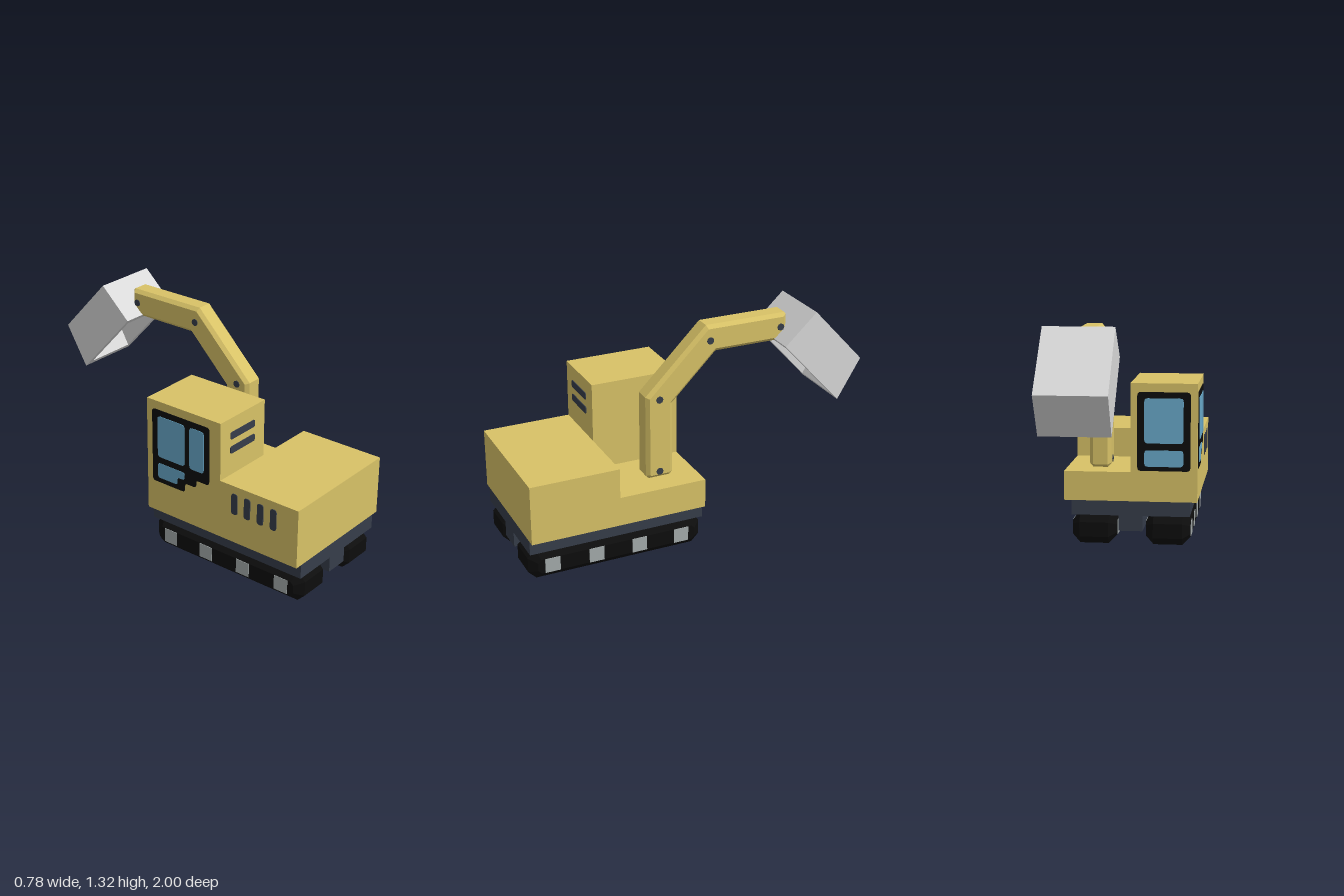
import * as THREE from 'three';

const mat = (name, color) => {
  const m = new THREE.MeshStandardMaterial({ color });
  m.name = name;
  return m;
};

export function createModel() {
  const yellow = mat('yellow paint', 0xd8c267);
  const navy = mat('dark navy', 0x363d4a);
  const black = mat('black rubber', 0x0d0d0d);
  const silver = mat('wheel grey', 0xa4abab);
  const grey = mat('bucket grey', 0xd9d9d9);
  const glass = mat('window blue', 0x69aacb);

  const model = new THREE.Group();
  model.name = 'excavator';
  const add = (name, geometry, material, parent = model) => {
    const mesh = new THREE.Mesh(geometry, material);
    mesh.name = name;
    parent.add(mesh);
    return mesh;
  };
  const group = (name) => {
    const g = new THREE.Group();
    g.name = name;
    model.add(g);
    return g;
  };

  // Box given by its limits on each axis
  const box = (x0, x1, y0, y1, z0, z1) =>
    new THREE.BoxGeometry(x1 - x0, y1 - y0, z1 - z0)
      .translate((x0 + x1) / 2, (y0 + y1) / 2, (z0 + z1) / 2);

  // Side profile of [z, y] points swept from x0 to x1, with chamfered side edges
  const sideProfile = (points, x0, x1, bevel = 0) => {
    const shape = new THREE.Shape(points.map(([z, y]) => new THREE.Vector2(-z, y)));
    return new THREE.ExtrudeGeometry(shape, {
      depth: x1 - x0 - 2 * bevel,
      bevelEnabled: bevel > 0,
      bevelSize: bevel,
      bevelThickness: bevel,
      bevelOffset: -bevel,
      bevelSegments: 1,
    }).rotateY(Math.PI / 2).translate(x0 + bevel, 0, 0);
  };

  // Polygon with small rounded corners
  const rounded = (points, r) => {
    const p = points.map(([x, y]) => new THREE.Vector2(x, y));
    const toward = (a, b) => a.clone().add(b.clone().sub(a).setLength(r));
    const shape = new THREE.Shape();
    p.forEach((c, i) => {
      const a = toward(c, p[(i + p.length - 1) % p.length]);
      const b = toward(c, p[(i + 1) % p.length]);
      if (i) shape.lineTo(a.x, a.y);
      else shape.moveTo(a.x, a.y);
      shape.quadraticCurveTo(c.x, c.y, b.x, b.y);
    });
    shape.closePath();
    return shape;
  };
  const rect = (a, b, y0, y1) => [[a, y0], [b, y0], [b, y1], [a, y1]];
  const plate = (points, r, thick) =>
    new THREE.ExtrudeGeometry(rounded(points, r), { depth: thick, bevelEnabled: false, curveSegments: 3 });

  // Body: engine hull, cab and low deck under the arm
  const body = group('body');
  add('engineHull', box(-0.385, 0.385, 0.26, 0.605, 0.485, 1), yellow, body);
  add('cab', box(-0.385, 0, 0.26, 0.945, -0.03, 0.485), yellow, body);
  add('armDeck', box(0, 0.385, 0.26, 0.43, -0.03, 0.485), yellow, body);

  // Undercarriage
  add('chassis', box(-0.343, 0.343, 0.175, 0.26, -0.03, 1), navy);
  add('chassisKeel', box(-0.07, 0.07, 0.085, 0.175, -0.03, 1), navy);

  // Tracks: chamfered blocks with square wheels on both faces
  const c = 0.045, z0 = -0.03, z1 = 1, h = 0.175;
  const trackOutline = [
    [z0 + c, 0], [z0, c], [z0, h - c], [z0 + c, h],
    [z1 - c, h], [z1, h - c], [z1, c], [z1 - c, 0],
  ].reverse();
  for (const [side, x0, x1] of [['left', 0.085, 0.343], ['right', -0.343, -0.085]]) {
    const track = group(side + 'Track');
    add('trackBelt', sideProfile(trackOutline, x0, x1, c), black, track);
    for (const z of [0.1, 0.355, 0.613, 0.872])
      add('trackWheel', box(x0 - 0.003, x1 + 0.003, 0.045, 0.13, z - 0.044, z + 0.044), silver, track);
  }

  // Cab back window
  const back = group('backWindow');
  back.position.z = -0.03;
  back.rotation.y = Math.PI;
  add('windowFrame', plate(rect(0.04, 0.345, 0.44, 0.895), 0.02, 0.004), black, back);
  add('upperPane', plate(rect(0.08, 0.305, 0.6, 0.86), 0.02, 0.007), glass, back);
  add('lowerPane', plate(rect(0.08, 0.305, 0.465, 0.56), 0.02, 0.007), glass, back);

  // Cab side window with a stepped lower edge, and hull side vents
  const flank = group('rightFlankDetails');
  flank.position.x = -0.385;
  flank.rotation.y = -Math.PI / 2;
  add('sideWindowFrame', plate([
    [0.01, 0.45], [0.24, 0.45], [0.24, 0.505], [0.32, 0.505], [0.32, 0.55],
    [0.41, 0.55], [0.41, 0.895], [0.01, 0.895],
  ], 0.018, 0.004), black, flank);
  add('largePane', plate(rect(0.05, 0.24, 0.61, 0.86), 0.02, 0.007), glass, flank);
  add('narrowPane', plate(rect(0.275, 0.375, 0.61, 0.86), 0.02, 0.007), glass, flank);
  add('steppedPane', plate([
    [0.05, 0.48], [0.19, 0.48], [0.19, 0.525], [0.24, 0.525], [0.24, 0.57], [0.05, 0.57],
  ], 0.014, 0.007), glass, flank);
  for (const z of [0.585, 0.67, 0.757, 0.843])
    add('sideVent', plate(rect(z - 0.02, z + 0.02, 0.435, 0.56), 0.015, 0.005), navy, flank);

  // Cab front vents
  for (const y of [0.755, 0.84])
    add('frontVent', plate(rect(-0.302, -0.09, y - 0.021, y + 0.021), 0.012, 0.005), navy).position.z = 0.485;

  // Bent arm with chamfered edges
  const arm = group('arm');
  add('boom', sideProfile([
    [0.25, 0.43], [0.267, 0.447], [0.267, 0.925], [-0.096, 1.288], [-0.58, 1.288], [-0.59, 1.278],
    [-0.59, 1.15], [-0.57, 1.13], [-0.155, 1.13], [0.107, 0.868], [0.107, 0.447], [0.124, 0.43],
  ].reverse(), 0.13, 0.255, 0.02), yellow, arm);
  for (const [z, y] of [[0.19, 0.47], [0.19, 0.905], [-0.115, 1.2], [-0.55, 1.21]])
    add('armPin', new THREE.CylinderGeometry(0.021, 0.021, 0.133, 8)
      .rotateZ(Math.PI / 2).translate(0.1925, y, z), navy, arm);

  // Open bucket: bent shell between two side walls
  const bucket = group('bucket');
  const outer = [[-0.513, 1.144], [-0.7, 1.318], [-1, 0.995], [-0.861, 0.765]];
  const inner = [[-0.833, 0.795], [-0.953, 1.003], [-0.7, 1.27], [-0.541, 1.114]];
  add('bucketShell', sideProfile([...outer, ...inner], 0.035, 0.35), grey, bucket);
  add('bucketRightWall', sideProfile(outer, 0, 0.035), grey, bucket);
  add('bucketLeftWall', sideProfile(outer, 0.35, 0.385), grey, bucket);

  return model;
}
